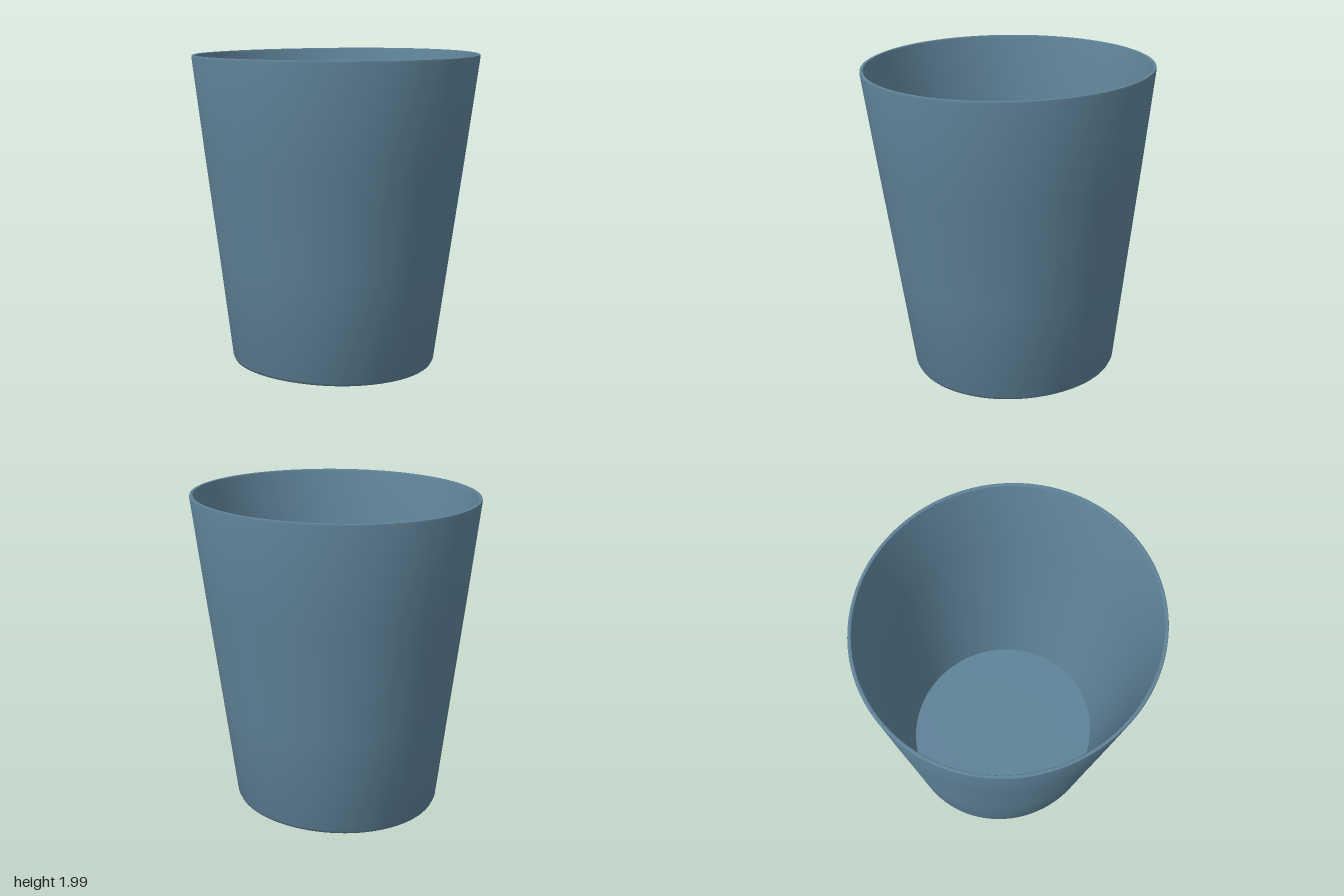
import * as THREE from 'three';
import { toCreasedNormals } from 'three/addons/utils/BufferGeometryUtils.js';

// Slightly oval, slightly leaning and unevenly cut, as if shaped by hand
function handShape(geometry) {
  const p = geometry.attributes.position;
  for (let i = 0; i < p.count; i++) {
    const t = p.getY(i) / 2;
    const x = p.getX(i) * 0.98 + 0.02 * (1 - t);
    const z = p.getZ(i) * 1.02 - 0.036 * (1 - t);
    const baseLift = 0.008 + 0.03 * x * x;
    const rimLift = 0.008 * x - 0.006 * z * z - 0.006;
    p.setXYZ(i, x, p.getY(i) + baseLift * (1 - t) + rimLift * t, z);
  }
  return geometry;
}

export function createModel() {
  const group = new THREE.Group();
  group.name = 'tumbler';

  // Closed profile: underside, outer wall, rim, inner wall, floor
  const profile = [
    [0, 0], [0.22, 0], [0.44, 0], [0.63, 0], [0.647, 0.006], [0.656, 0.025],
    [0.737, 0.68], [0.82, 1.34], [0.898, 1.985], [0.896, 1.997], [0.888, 2], [0.878, 1.997], [0.874, 1.985],
    [0.794, 1.34], [0.711, 0.68], [0.628, 0.04], [0.44, 0.035], [0.22, 0.035], [0, 0.035],
  ].map(([r, y]) => new THREE.Vector2(r, y));

  const geometry = handShape(new THREE.LatheGeometry(profile, 96));
  const cup = new THREE.Mesh(
    toCreasedNormals(geometry, 0.8),
    new THREE.MeshStandardMaterial({ color: 0x5f8398 }),
  );
  cup.name = 'cup';
  group.add(cup);
  return group;
}
